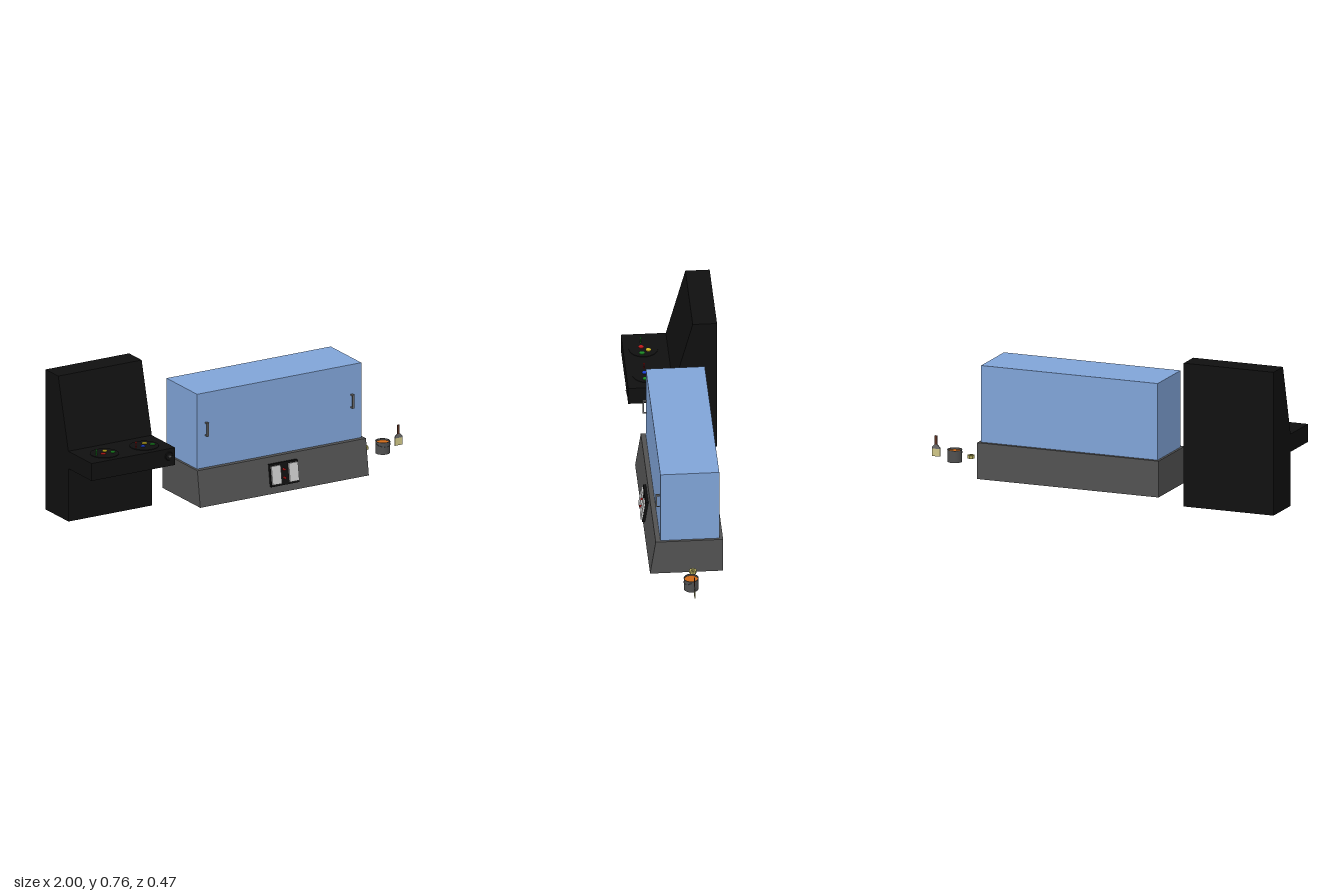
import * as THREE from 'three';

const mat = (color, extra = {}) => new THREE.MeshStandardMaterial({ color, ...extra });
const M = {
  black: mat(0x101010), glass: mat(0x80a4d8), base: mat(0x525252), steel: mat(0x6a6a6a),
  pale: mat(0xcccccc), red: mat(0xc01818), green: mat(0x1a8a22), blue: mat(0x1a3fd0),
  yellow: mat(0xd0b820), orange: mat(0xd06a18), wood: mat(0x5a3020), bristle: mat(0xcfc687),
  tape: mat(0xb8b060), bucket: mat(0x505050, { side: THREE.DoubleSide }),
};

function add(parent, name, geometry, material, x = 0, y = 0, z = 0) {
  const mesh = new THREE.Mesh(geometry, material);
  mesh.name = name;
  mesh.position.set(x, y, z);
  parent.add(mesh);
  return mesh;
}

function group(parent, name, x = 0, y = 0, z = 0) {
  const g = new THREE.Group();
  g.name = name;
  g.position.set(x, y, z);
  parent.add(g);
  return g;
}

// Box given by its limits
function block(parent, name, material, x0, x1, y0, y1, z0, z1) {
  return add(parent, name, new THREE.BoxGeometry(x1 - x0, y1 - y0, z1 - z0), material,
    (x0 + x1) / 2, (y0 + y1) / 2, (z0 + z1) / 2);
}

// Side profile of [z, y] points, extruded along x
function sideExtrude(points, x0, x1, holes = []) {
  const toV = (p) => new THREE.Vector2(-p[0], p[1]);
  const shape = new THREE.Shape(points.map(toV));
  holes.forEach((h) => shape.holes.push(new THREE.Path(h.map(toV))));
  const g = new THREE.ExtrudeGeometry(shape, { depth: x1 - x0, bevelEnabled: false });
  return g.rotateY(Math.PI / 2).translate(x0, 0, 0);
}

function createCabinet(root) {
  const cabinet = group(root, 'arcadeCabinet');
  add(cabinet, 'cabinetBody', sideExtrude(
    [[-0.005, 0], [-0.005, 0.375], [-0.107, 0.758], [-0.232, 0.758], [-0.232, 0]], -1, -0.5), M.black);
  block(cabinet, 'controlDeck', M.black, -1, -0.5, 0.286, 0.38, -0.03, 0.225);

  // Two player stations: joystick and three buttons each
  [[-0.915, M.green, M.red], [-0.677, M.red, M.blue]].forEach(([x, stick, first]) => {
    const station = group(cabinet, 'playerControls', x, 0.38, 0.13);
    add(station, 'controlPlate', new THREE.CylinderGeometry(0.075, 0.075, 0.003, 32), M.black, 0.055, 0.0015, -0.01);
    add(station, 'joystickShaft', new THREE.CylinderGeometry(0.003, 0.003, 0.026, 10), stick, 0, 0.016, 0);
    add(station, 'joystickKnob', new THREE.SphereGeometry(0.005, 12, 8), stick, 0, 0.031, 0);
    [[0.042, 0, first], [0.072, -0.035, M.yellow], [0.099, 0, M.green]].forEach(([bx, bz, m]) =>
      add(station, 'button', new THREE.CylinderGeometry(0.013, 0.013, 0.006, 20), m, bx, 0.004, bz));
  });

  // Small lock on the front of the deck
  const lock = group(cabinet, 'deckLock', -0.537, 0.34, 0.225);
  add(lock, 'lockPlate', new THREE.CylinderGeometry(0.02, 0.024, 0.006, 20).rotateX(Math.PI / 2), M.black, 0, 0, 0.002);
  add(lock, 'lockCore', new THREE.CylinderGeometry(0.006, 0.006, 0.006, 16).rotateX(Math.PI / 2), M.steel, 0, 0, 0.006);
  add(lock, 'lockKey', new THREE.BoxGeometry(0.018, 0.004, 0.003), M.steel, 0.002, 0, 0.008);
}

function createTank(root) {
  const tank = group(root, 'displayTank');
  add(tank, 'tankBase', sideExtrude(
    [[0.202, 0.018], [0.173, 0.21], [-0.174, 0.21], [-0.174, 0.018]], -0.335, 0.675), M.base);
  block(tank, 'glassCase', M.glass, -0.322, 0.662, 0.21, 0.615, -0.155, 0.148);

  // Door handles
  [-0.268, 0.604].forEach((x) => add(tank, 'doorHandle', sideExtrude(
    [[0.147, 0.382], [0.169, 0.382], [0.169, 0.456], [0.147, 0.456]], x - 0.006, x + 0.006,
    [[[0.149, 0.39], [0.161, 0.39], [0.161, 0.448], [0.149, 0.448]]]), M.steel));

  // Switch panel leaning with the sloped front
  const panel = group(tank, 'switchPanel', 0.17, 0.115, 0.187);
  panel.rotation.x = -0.15;
  block(panel, 'panelBack', M.black, -0.084, 0.084, -0.06, 0.06, -0.002, 0.015);
  [-1, 1].forEach((s) => {
    add(panel, 'switchPlate', new THREE.BoxGeometry(0.055, 0.098, 0.009), M.pale, s * 0.052, 0, 0.0195);
    add(panel, 'redButton', new THREE.CylinderGeometry(0.006, 0.006, 0.014, 16).rotateX(Math.PI / 2),
      M.red, -0.004, s * 0.022, 0.022);
  });
}

function createTools(root) {
  // Roll of tape
  const ring = [[0.009, 0], [0.019, 0], [0.019, 0.016], [0.009, 0.016], [0.009, 0]];
  add(root, 'tapeRoll', new THREE.LatheGeometry(ring.map((p) => new THREE.Vector2(...p)), 8),
    mat(0xb8b060, { flatShading: true, side: THREE.DoubleSide }), 0.778, 0.081, -0.01);

  // Paint bucket with its bail folded forward
  const bucket = group(root, 'paintBucket', 0.876, 0.05, 0.006);
  add(bucket, 'bucketWall', new THREE.CylinderGeometry(0.038, 0.038, 0.065, 32, 1, true), M.bucket, 0, 0.0325, 0);
  add(bucket, 'bucketFloor', new THREE.CylinderGeometry(0.037, 0.037, 0.003, 32), M.bucket, 0, 0.0016, 0);
  add(bucket, 'bucketRim', new THREE.TorusGeometry(0.037, 0.0015, 6, 32).rotateX(Math.PI / 2), M.bucket, 0, 0.064, 0);
  add(bucket, 'paint', new THREE.CylinderGeometry(0.036, 0.036, 0.003, 32), M.orange, 0, 0.054, 0);
  const bail = add(bucket, 'bucketBail',
    new THREE.TorusGeometry(0.042, 0.0012, 6, 24, Math.PI).rotateX(Math.PI / 2), M.bucket, 0, 0.058, 0);
  bail.rotation.x = 0.45;

  // Paint brush
  const brush = group(root, 'paintBrush', 0.976, 0.07, -0.004);
  add(brush, 'bristles', new THREE.BoxGeometry(0.045, 0.042, 0.004), M.bristle, 0, 0.021, 0);
  const collar = new THREE.Shape([[-0.0225, 0.04], [0.0225, 0.04], [0.0225, 0.048], [0.008, 0.062], [-0.008, 0.062], [-0.0225, 0.048]]
    .map((p) => new THREE.Vector2(...p)));
  add(brush, 'brushCollar', new THREE.ExtrudeGeometry(collar, { depth: 0.005, bevelEnabled: false }), M.steel, 0, 0, -0.0025);
  add(brush, 'brushHandle', new THREE.BoxGeometry(0.013, 0.05, 0.005), M.wood, 0, 0.085, 0);
}

export function createModel() {
  const model = new THREE.Group();
  model.name = 'arcadeAndTank';
  createCabinet(model);
  createTank(model);
  createTools(model);
  return model;
}
